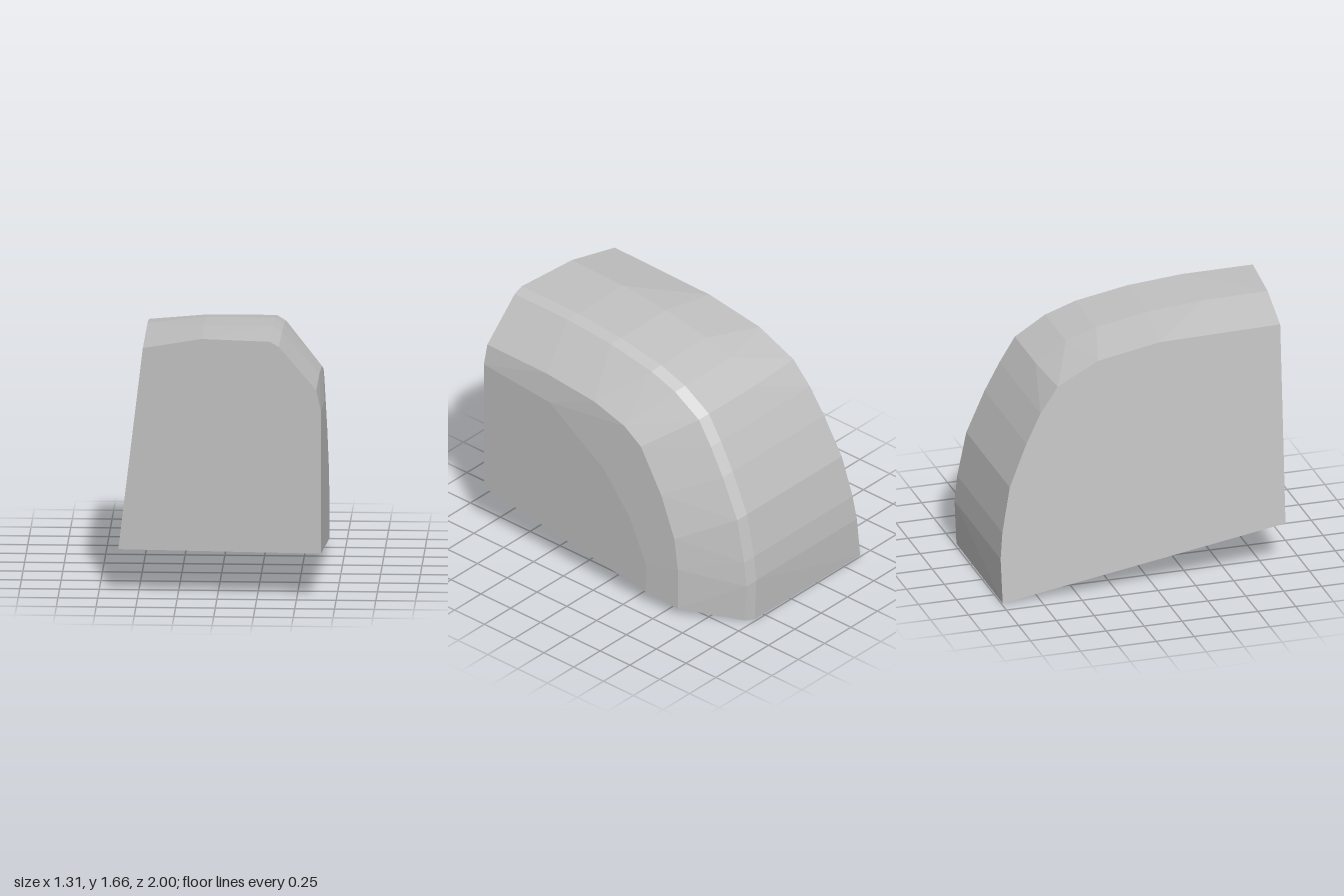
import * as THREE from 'three';
import { ConvexGeometry } from 'three/addons/geometries/ConvexGeometry.js';

// sloping planes that trim the block
const frontZ = (x) => 0.94 + 0.093 * x;
const bottomY = (x, z) => 0.156 + 0.152 * z - 0.007 * x;
const leanX = (y) => -0.66 + 0.119 * y;

// rear curve shared by the full-height sections, as [z, y]
const back = [[-0.7, 1.215], [-0.8, 1.03], [-0.92, 0.76], [-0.98, 0.47], [-0.998, 0.3]];
const crown = [[0.5, 1.657], [0.14, 1.628], [-0.2, 1.568], [-0.4, 1.5], [-0.6, 1.375], ...back];

// sections across the block: x, height at the front face, curve, z of the rear bottom corner
const sections = [
  { x: null, top: 1.595, curve: [[0.1, 1.58], [-0.31, 1.51], [-0.58, 1.375], ...back], rear: -0.995 },
  { x: -0.1, top: 1.665, curve: crown, rear: -0.99 },
  { x: 0.33, top: 1.66, curve: crown, rear: -0.985 },
  { x: 0.39, top: 1.628, curve: crown.map(([z, y]) => [z + 0.03, y - 0.03]), rear: -0.95 },
  { x: 0.625, top: 1.355, curve: [[0.5, 1.35], [0.1, 1.31], [-0.15, 1.235], [-0.29, 1.14],
    [-0.46, 0.85], [-0.57, 0.57], [-0.6, 0.35]], rear: -0.6 },
  { x: 0.655, top: 1.22, curve: [[0.45, 1.17], [0, 0.87], [-0.22, 0.6], [-0.36, 0.3]], rear: -0.36 },
];

export function createModel() {
  const group = new THREE.Group();
  group.name = 'roundedBlock';
  const grey = new THREE.MeshStandardMaterial({ color: 0xc0c0c0 });
  grey.name = 'light grey';

  const points = [];
  for (const { x, top, curve, rear } of sections) {
    const at = (y) => (x === null ? leanX(y) : x);
    const add = (z, y) => points.push(new THREE.Vector3(at(y), y, z));
    const zf = frontZ(at(top));
    add(zf, top);
    for (const [z, y] of curve) add(z, y);
    // bottom corners, with the front face kept vertical
    const zb = frontZ(at(0.3));
    add(rear, bottomY(at(0), rear));
    add(zb, bottomY(at(0.3), zb));
  }

  // one convex, faceted shell through all the sections
  const block = new THREE.Mesh(new ConvexGeometry(points), grey);
  block.name = 'block';
  group.add(block);

  // stand on the ground
  block.geometry.computeBoundingBox();
  block.position.y = -block.geometry.boundingBox.min.y;
  return group;
}
